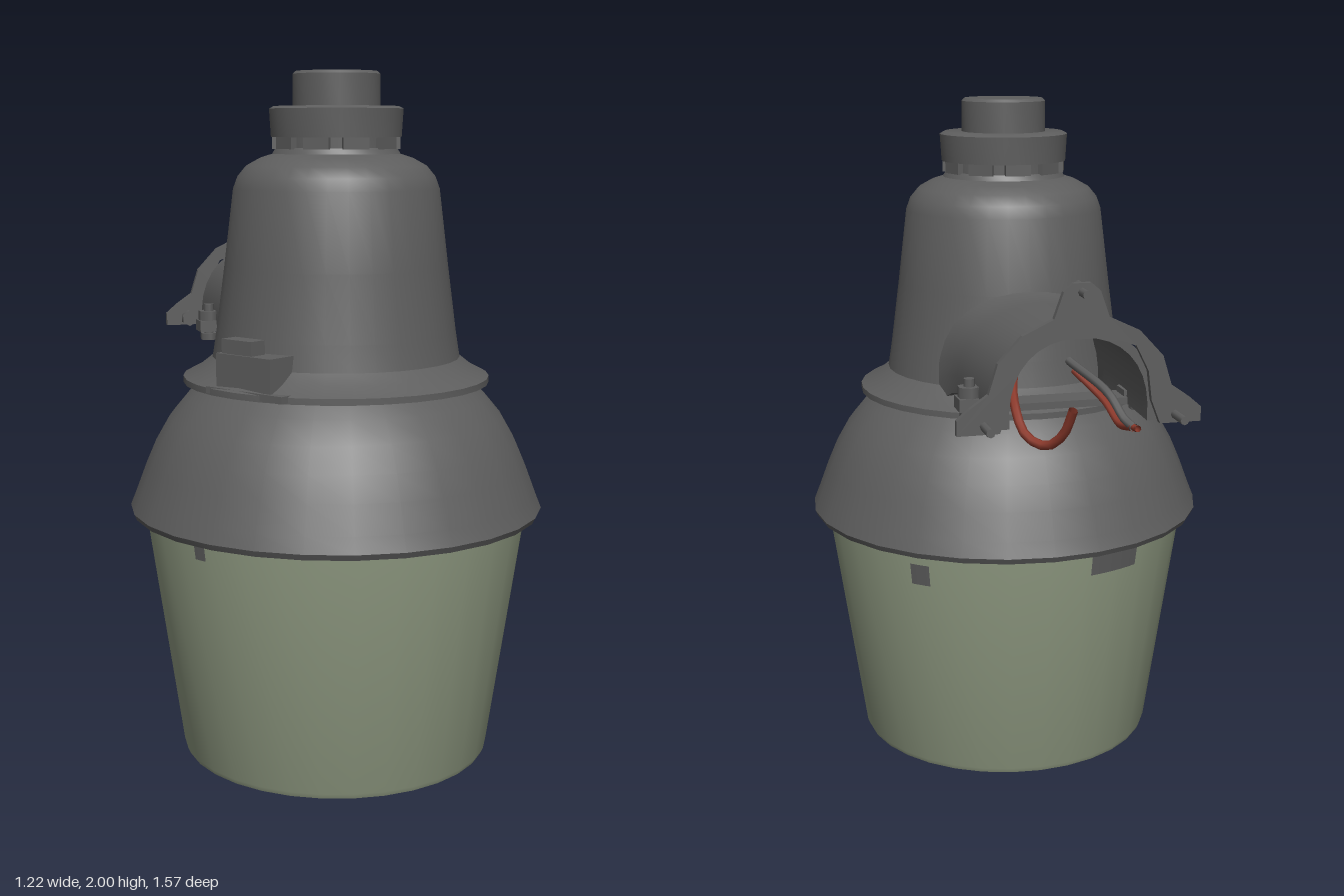
import * as THREE from 'three';
import { toCreasedNormals } from 'three/addons/utils/BufferGeometryUtils.js';

const material = (name, color, double = true) => {
  const m = new THREE.MeshStandardMaterial({ color, side: double ? THREE.DoubleSide : THREE.FrontSide });
  m.name = name;
  return m;
};

export function createModel() {
  const grey = material('housing grey', 0x5e5e5e);
  const glass = material('frosted green glass', 0x929d84);
  const red = material('red wire', 0x8c3a2c);

  const model = new THREE.Group();
  model.name = 'yardLamp';
  const lamp = new THREE.Group();
  lamp.name = 'lampBody';
  lamp.position.z = 0.17;
  model.add(lamp);

  const add = (parent, name, geometry, mat, x = 0, y = 0, z = 0) => {
    const mesh = new THREE.Mesh(geometry, mat);
    mesh.name = name;
    mesh.position.set(x, y, z);
    parent.add(mesh);
    return mesh;
  };
  const lathe = (name, profile, mat, segments = 28) => add(lamp, name, toCreasedNormals(
    new THREE.LatheGeometry(profile.map(([r, y]) => new THREE.Vector2(r, y)), segments), 0.55), mat);

  // Open glass refractor with a thin wall
  lathe('refractor', [[0.55, 0.74], [0.44, 0.012], [0.453, 0], [0.46, 0.015], [0.565, 0.74]], glass, 32);

  // Bell-shaped shade
  lathe('shade', [[0.555, 0.735], [0.6, 0.728], [0.608, 0.745], [0.59, 0.79], [0.56, 0.87],
    [0.53, 0.94], [0.49, 1.01], [0.44, 1.07], [0.39, 1.115]], grey);

  // Tapered housing with its foot flange
  lathe('housing', [[0, 1.112], [0.448, 1.112], [0.448, 1.13], [0.4, 1.155], [0.362, 1.185],
    [0.35, 1.26], [0.325, 1.45], [0.298, 1.67], [0.285, 1.705], [0.26, 1.735], [0.22, 1.757],
    [0.185, 1.768], [0.175, 1.785], [0, 1.785]], grey, 32);

  // Socket collar with notched skirt, and the photocell on top
  lathe('collar', [[0.17, 1.77], [0.17, 1.815], [0.188, 1.815], [0.193, 1.895], [0.18, 1.902], [0, 1.902]], grey);
  lathe('photocell', [[0.126, 1.89], [0.126, 1.992], [0.118, 2], [0, 2]], grey);
  for (let i = 0; i < 10; i++) {
    const a = (i / 10) * Math.PI * 2;
    const tooth = add(lamp, 'collarTooth', new THREE.BoxGeometry(0.075, 0.04, 0.025), grey,
      Math.sin(a) * 0.17, 1.802, Math.cos(a) * 0.17);
    tooth.rotation.y = a;
  }

  // Latch box sitting on the housing foot
  const latch = new THREE.Group();
  latch.name = 'latch';
  latch.position.set(-0.32, 0, 0.21);
  latch.rotation.y = -Math.PI / 2 + 0.57;
  lamp.add(latch);
  add(latch, 'latchBox', new THREE.BoxGeometry(0.2, 0.11, 0.13), grey, 0.02, 1.175, -0.02);
  add(latch, 'latchLug', new THREE.BoxGeometry(0.11, 0.15, 0.055), grey, -0.01, 1.195, 0.01);
  add(latch, 'latchPlate', new THREE.BoxGeometry(0.28, 0.02, 0.11), grey, 0.03, 1.125, 0);

  // Grey patches lying on the glass under the rim: angle, height, arc, height span
  [[-0.87, 0.66, 0.11, 0.065], [-1.95, 0.685, 0.3, 0.06], [2.6, 0.7, 0.07, 0.045]].forEach(([a, y, arc, h]) => {
    const r = (v) => 0.46 + 0.105 * (v - 0.015) / 0.725 + 0.004;
    add(lamp, 'glassPatch', new THREE.CylinderGeometry(r(y + h / 2), r(y - h / 2), h, 6, 1, true,
      Math.PI / 2 - a - arc / 2, arc), grey, 0, y, 0);
  });

  // Arched mounting arm, open below and flaring into the housing
  const arch = new THREE.Shape();
  arch.moveTo(0.215, 0);
  arch.lineTo(0.215, 0.05);
  arch.bezierCurveTo(0.21, 0.17, 0.13, 0.26, 0, 0.26);
  arch.bezierCurveTo(-0.13, 0.26, -0.21, 0.17, -0.215, 0.05);
  arch.lineTo(-0.215, 0);
  arch.lineTo(-0.19, 0);
  arch.lineTo(-0.19, 0.05);
  arch.bezierCurveTo(-0.185, 0.155, -0.12, 0.235, 0, 0.235);
  arch.bezierCurveTo(0.12, 0.235, 0.185, 0.155, 0.19, 0.05);
  arch.lineTo(0.19, 0);
  const armGeometry = new THREE.ExtrudeGeometry(arch, { depth: 0.58, steps: 12, bevelEnabled: false, curveSegments: 8 });
  const p = armGeometry.attributes.position;
  for (let i = 0; i < p.count; i++) {
    const t = p.getZ(i) / 0.58;
    const flare = Math.max(0, (t - 0.72) / 0.28) ** 2;
    p.setX(i, p.getX(i) * (1 + 0.12 * t + 0.1 * flare));
    p.setY(i, p.getY(i) + flare * (p.getY(i) / 0.26 * 0.12 - 0.07));
  }
  add(model, 'mountingArm', toCreasedNormals(armGeometry, 0.6), grey, 0, 1.19, -0.65);

  // Wall flange: an arch with a lug on top and one on each side
  const half = [[0.335, 1.185], [0.335, 1.225], [0.3, 1.255], [0.25, 1.29], [0.225, 1.37],
    [0.16, 1.44], [0.075, 1.48], [0.05, 1.55], [0.025, 1.572]];
  const inner = [[0.15, 1.4], [0.185, 1.33], [0.195, 1.25], [0.22, 1.185]];
  const mirror = (list) => list.map(([x, y]) => [-x, y]).reverse();
  const outline = [...half, ...mirror(half), ...mirror(inner), [-0.08, 1.425], [0.08, 1.425], ...inner];
  const flange = new THREE.Shape(outline.map(([x, y]) => new THREE.Vector2(x, y)));
  add(model, 'wallFlange', new THREE.ExtrudeGeometry(flange, { depth: 0.018, bevelEnabled: false }), grey, 0, 0, -0.67);

  // Flange bolts
  const bolt = (name, x, y, back) => {
    const shank = add(model, name + 'Shank', new THREE.CylinderGeometry(0.012, 0.012, back, 8), grey, x, y, -0.64 - back / 2);
    const head = add(model, name + 'Head', new THREE.CylinderGeometry(0.026, 0.026, 0.025, 6), grey, x, y, -0.642);
    shank.rotation.x = head.rotation.x = Math.PI / 2;
  };
  bolt('topBolt', 0, 1.548, 0.075);
  for (const s of [-1, 1]) {
    bolt('sideBolt', s * 0.262, 1.208, 0.105);
    // Clamp ears and upright clamp bolts beside the arm
    add(model, 'clampEar', new THREE.BoxGeometry(0.09, 0.035, 0.07), grey, s * 0.235, 1.21, -0.42);
    add(model, 'clampBolt', new THREE.CylinderGeometry(0.016, 0.016, 0.115, 8), grey, s * 0.245, 1.222, -0.42);
    add(model, 'clampNut', new THREE.CylinderGeometry(0.034, 0.034, 0.035, 6), grey, s * 0.245, 1.24, -0.42);
    add(model, 'clampBoltHead', new THREE.CylinderGeometry(0.028, 0.028, 0.022, 6), grey, s * 0.245, 1.175, -0.42);
  }
  add(model, 'clampBar', new THREE.BoxGeometry(0.42, 0.02, 0.09), grey, 0, 1.2, -0.42);

  // Supply wires
  const wire = (name, points, radius, mat) => add(model, name, new THREE.TubeGeometry(
    new THREE.CatmullRomCurve3(points.map((v) => new THREE.Vector3(...v))), 16, radius, 7), mat);
  wire('redWire', [[0.1, 1.3, -0.35], [0.15, 1.23, -0.55], [0.14, 1.165, -0.63], [0.1, 1.15, -0.69],
    [0.07, 1.19, -0.74], [0.055, 1.265, -0.78]], 0.013, red);
  wire('greyWire', [[-0.03, 1.32, -0.45], [-0.08, 1.27, -0.66], [-0.105, 1.215, -0.71], [-0.12, 1.2, -0.745]], 0.012, grey);
  wire('wireTip', [[-0.12, 1.2, -0.74], [-0.123, 1.2, -0.76], [-0.12, 1.205, -0.78]], 0.009, red);
  wire('innerRedWire', [[-0.06, 1.28, -0.4], [-0.11, 1.22, -0.52], [-0.12, 1.18, -0.62], [-0.115, 1.2, -0.75]], 0.01, red);

  return model;
}
